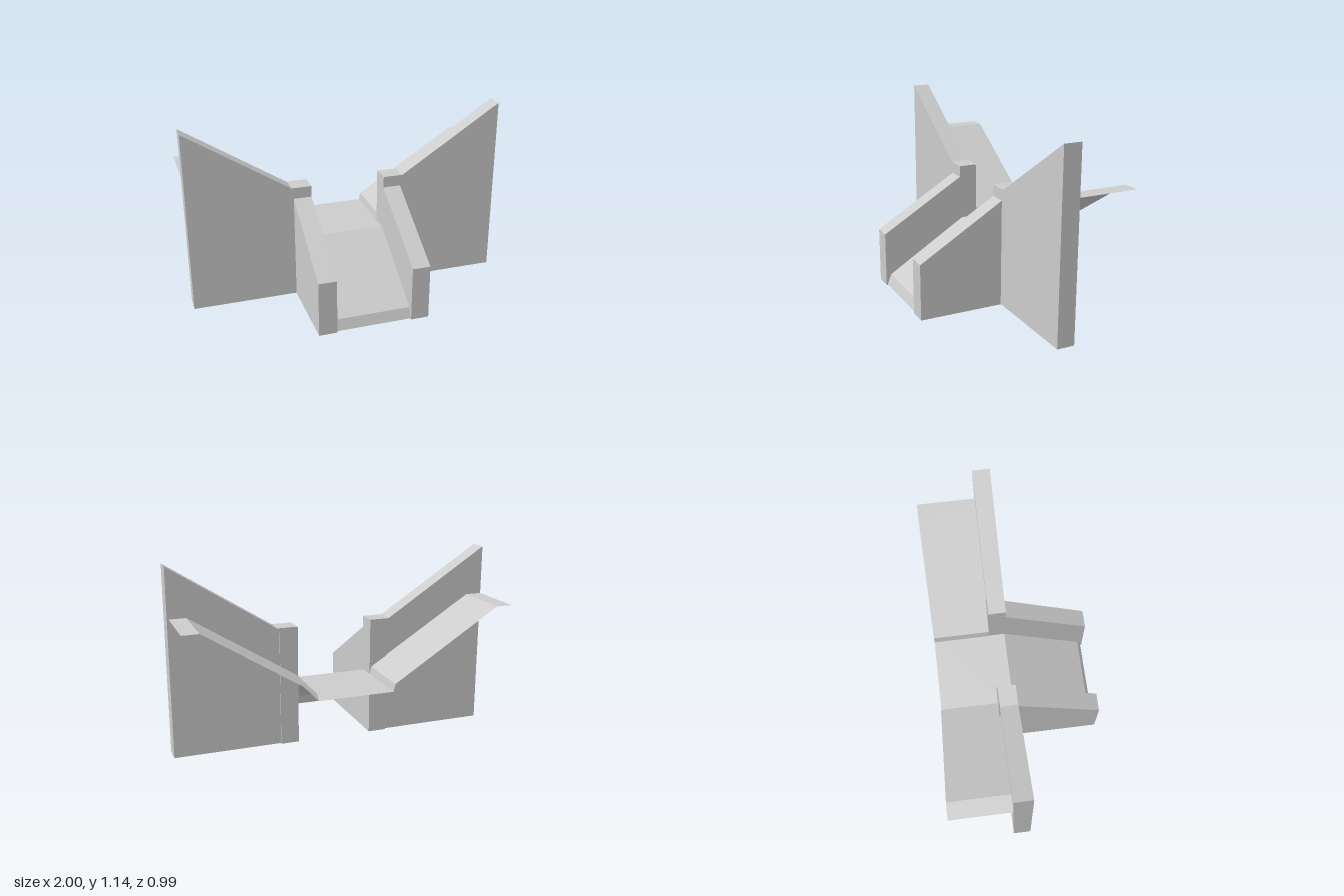
import * as THREE from 'three';

const material = new THREE.MeshStandardMaterial({ color: 0xcccccc, flatShading: true });
const sheetMaterial = new THREE.MeshStandardMaterial({ color: 0xcccccc, flatShading: true, side: THREE.DoubleSide });

const prism = (points, depth) => new THREE.ExtrudeGeometry(
  new THREE.Shape(points.map(([x, y]) => new THREE.Vector2(x, y))),
  { depth, bevelEnabled: false });

// Thin open sheet: each pair is [start, end] of a cross line, joined in order
function sheet(pairs) {
  const positions = [];
  for (let i = 0; i < pairs.length - 1; i++) {
    const [a, b] = pairs[i], [c, d] = pairs[i + 1];
    positions.push(...a, ...b, ...d, ...a, ...d, ...c);
  }
  const geometry = new THREE.BufferGeometry();
  geometry.setAttribute('position', new THREE.Float32BufferAttribute(positions, 3));
  geometry.computeVertexNormals();
  return geometry;
}

export function createModel() {
  const group = new THREE.Group();
  const add = (name, geometry, mat = material) => {
    const mesh = new THREE.Mesh(geometry, mat);
    mesh.name = name;
    group.add(mesh);
  };

  for (const [side, s] of [['left', 1], ['right', -1]]) {
    // Head wall with a sloping top that rises outward
    const wall = [[0.235, 0.003], [1, 0.003], [1, 1.14], [0.36, 0.73], [0.235, 0.73]];
    const outline = wall.map(([x, y]) => [s * x, y]);
    add(side + 'HeadWall', prism(outline, 0.108).translate(0, 0, -0.133));

    // Cheek wall beside the chute, running through the head wall
    const cheek = prism([[0.497, 0], [0.497, 0.345], [-0.025, 0.66], [-0.14, 0.73], [-0.14, 0]], 0.112);
    cheek.rotateY(-Math.PI / 2).translate(s > 0 ? 0.345 : -0.235, 0, 0);
    add(side + 'CheekWall', cheek);
  }

  // Open channel behind the walls: lip, bank, kerb and floor
  const channel = [[-1, 0.84], [-0.9, 0.84], [-0.245, 0.43], [-0.235, 0.384],
    [0.23, 0.384], [0.24, 0.43], [0.89, 0.84], [0.99, 0.84]];
  add('channel', sheet(channel.map(([x, y]) => [[x, y, -0.133], [x, y, -0.497]])), sheetMaterial);

  // Chute floor running down to the front toe
  const chute = [[-0.133, 0.384], [-0.04, 0.384], [0.465, 0.07], [0.49, 0.005]];
  add('chute', sheet(chute.map(([z, y]) => [[-0.235, y, z], [0.235, y, z]])), sheetMaterial);

  return group;
}
